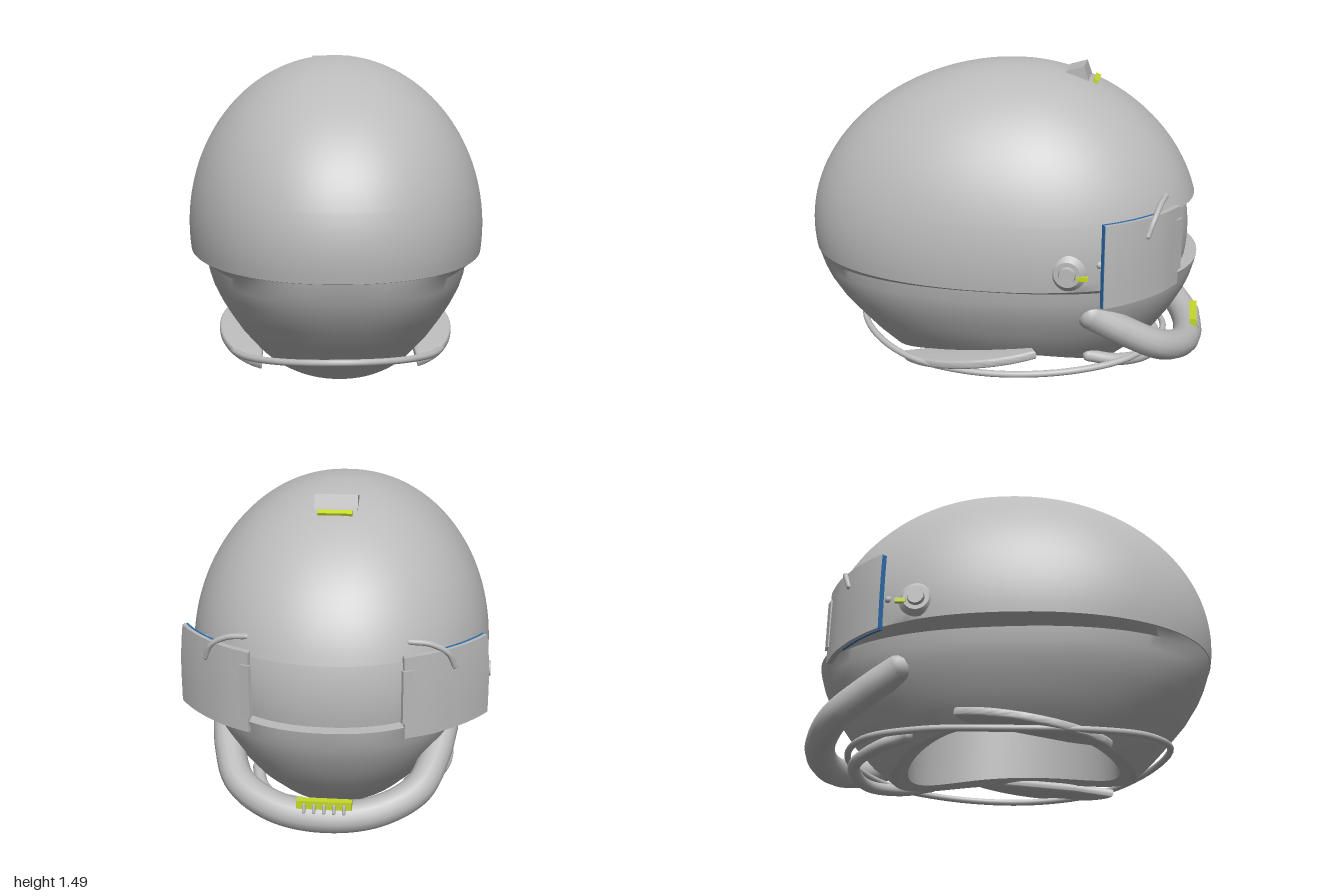
import * as THREE from 'three';
import { toCreasedNormals } from 'three/addons/utils/BufferGeometryUtils.js';

const mat = (name, color) => {
  const m = new THREE.MeshStandardMaterial({ color });
  m.name = name;
  return m;
};

export function createModel() {
  const grey = mat('grey', 0xbababa);
  const blue = mat('blue', 0x2f6fae);
  const lime = mat('lime', 0xc4d92a);
  const model = new THREE.Group();
  model.name = 'helmet';

  const add = (parent, name, geometry, material = grey, x = 0, y = 0, z = 0) => {
    const mesh = new THREE.Mesh(geometry, material);
    mesh.name = name;
    mesh.position.set(x, y, z);
    parent.add(mesh);
    return mesh;
  };

  // Skins superelliptic rings {y, w, zf, zb, p, lift, inset}, listed along the surface
  const CZ = -0.03, COLS = 120;
  const power = (v, p) => Math.sign(v) * Math.abs(v) ** (2 / p);
  const skin = (rings) => {
    const pos = [], idx = [];
    rings.forEach((r, i) => {
      for (let j = 0; j <= COLS; j++) {
        const a = (j / COLS) * Math.PI * 2, c = Math.cos(a), s = Math.sin(a);
        const k = r.inset && c < -0.6 ? 0.945 : 1;
        const depth = c > 0 ? r.zb - CZ : CZ - r.zf;
        pos.push(r.w * power(s, r.p) * k, r.y + 0.12 * (r.lift || 0) * s * s, CZ + depth * power(c, r.p) * k);
        if (i < rings.length - 1 && j < COLS) {
          const t = i * (COLS + 1) + j, b = t + COLS + 1;
          idx.push(t, b, t + 1, t + 1, b, b + 1);
        }
      }
    });
    const g = new THREE.BufferGeometry();
    g.setAttribute('position', new THREE.Float32BufferAttribute(pos, 3));
    g.setIndex(idx);
    return toCreasedNormals(g, 0.5);
  };

  // Dome, with the recessed visor band in its lower rows
  const domeRing = (y, inset) => {
    const q = Math.max(0, 1 - ((y - 0.67) / 0.825) ** 2);
    return { y, w: 0.735 * q ** 0.5, zf: CZ - 0.92 * q ** 0.53, zb: CZ + 1.03 * q ** 0.52, p: 2.16, inset };
  };
  const dome = [];
  const end = Math.acos(0.19 / 0.825);
  for (let i = 0; i <= 28; i++) dome.push(domeRing(0.67 + 0.825 * Math.cos((end * i) / 28)));
  for (let i = 0; i <= 8; i++) dome.push(domeRing(0.858 - (0.303 * i) / 8, true));
  dome.push({ y: 0.553, w: 0.725, zf: -0.95, zb: 0.985, p: 2.16 });
  add(model, 'upperShell', skin(dome));

  // Jaw with a saddle-shaped rim
  const jaw = [
    [0.553, 0.725, -0.95, 0.985, 2.16], [0.52, 0.65, -0.942, 0.976, 2.32], [0.46, 0.64, -0.925, 0.955, 2.32],
    [0.4, 0.622, -0.9, 0.927, 2.32], [0.3, 0.59, -0.845, 0.864, 2.3], [0.2, 0.553, -0.775, 0.78, 2.25],
    [0.1, 0.51, -0.685, 0.69, 2.2], [0.01, 0.46, -0.58, 0.6, 2.1],
  ].map(([y, w, zf, zb, p]) => ({ y, w, zf, zb, p, lift: Math.max(0, (0.4 - y) / 0.39) }));
  add(model, 'lowerShell', skin(jaw));

  // Neck opening: rim lip, inner wall and ceiling
  add(model, 'neckLining', skin([
    { y: 0.01, w: 0.46, zf: -0.58, zb: 0.6, p: 2.1, lift: 1 },
    { y: 0.005, w: 0.44, zf: -0.55, zb: 0.57, p: 2.1, lift: 1 },
    { y: 0.03, w: 0.4, zf: -0.5, zb: 0.52, p: 2.1, lift: 1 },
    { y: 0.45, w: 0.4, zf: -0.5, zb: 0.52, p: 2.1 },
    { y: 0.47, w: 0, zf: CZ, zb: CZ, p: 2.1 },
  ]));

  // Round hoses; ends are capped with spheres
  const hose = (parent, name, pts, r, closed = false) => {
    const v = pts.map((p) => new THREE.Vector3(...p));
    add(parent, name, new THREE.TubeGeometry(new THREE.CatmullRomCurve3(v, closed), 80, r, 14, closed));
    if (!closed) for (const p of [pts[0], pts[pts.length - 1]])
      add(parent, name + 'End', new THREE.SphereGeometry(r, 14, 10), grey, ...p);
  };
  const mirrored = (half) => [
    ...half.slice(1).reverse().map(([x, y, z]) => [-x, y, z]), ...half,
  ];
  const chinY = (z) => 0.39 + 0.57 * (z + 0.46);
  hose(model, 'chinBar', mirrored([[0, -0.925], [0.23, -0.89], [0.41, -0.78], [0.485, -0.62], [0.52, -0.47]]
    .map(([x, z]) => [x, chinY(z), z])), 0.072);
  hose(model, 'chinHose', mirrored([[0, 0.05, -0.76], [0.2, 0.055, -0.72], [0.34, 0.08, -0.58], [0.38, 0.11, -0.45]]), 0.03);
  const loop = mirrored([[0, 0.14, 0.77], [0.27, 0.115, 0.66], [0.47, 0.078, 0.42], [0.56, 0.065, 0.05],
    [0.53, 0.085, -0.35], [0.36, 0.11, -0.66]]);
  hose(model, 'neckCable', [...loop, [0, 0.125, -0.8]], 0.016, true);

  // Lime grip with studs on the chin bar
  add(model, 'chinGrip', new THREE.BoxGeometry(0.25, 0.04, 0.035), lime, 0, 0.205, -0.95);
  for (let i = -2; i <= 2; i++) {
    const stud = add(model, 'gripStud', new THREE.CapsuleGeometry(0.008, 0.03, 4, 8), grey, i * 0.045, 0.19, -0.972);
    stud.rotation.x = 0.3;
  }

  // Top vent wedge with its lime strip
  const wedge = new THREE.Shape([[0.27, 1.42], [0.41, 1.38], [0.395, 1.425], [0.375, 1.482], [0.29, 1.458]]
    .map((p) => new THREE.Vector2(...p)));
  const vent = new THREE.ExtrudeGeometry(wedge, { depth: 0.2, bevelEnabled: false });
  vent.rotateY(Math.PI / 2).translate(-0.1, 0, 0);
  add(model, 'topVent', vent);
  const strip = add(model, 'ventStrip', new THREE.BoxGeometry(0.16, 0.02, 0.025), lime, 0, 1.407, -0.43);
  strip.rotation.x = -0.45;

  // Upright plate along a plan-view path, offset t0 to t1 inwards, leaning in towards its top
  const path = new THREE.SplineCurve([[0.35, -0.86], [0.48, -0.79], [0.6, -0.69], [0.68, -0.6], [0.725, -0.535]]
    .map((p) => new THREE.Vector2(...p)));
  const plate = (t0, t1, from, to, y, h) => {
    const edge = (t) => Array.from({ length: 17 }, (_, i) => {
      const u = from + ((to - from) * i) / 16, p = path.getPoint(u), d = path.getTangent(u);
      return new THREE.Vector2(p.x - d.y * t, -(p.y + d.x * t));
    });
    const g = new THREE.ExtrudeGeometry(new THREE.Shape([...edge(t0), ...edge(t1).reverse()]),
      { depth: h, steps: 8, bevelEnabled: false });
    g.rotateX(-Math.PI / 2).translate(0, y, 0);
    const pos = g.attributes.position;
    for (let i = 0; i < pos.count; i++) {
      const lean = 1 - 0.025 * Math.max(0, (pos.getY(i) - 0.62) / 0.27) ** 2;
      pos.setX(i, pos.getX(i) * lean);
    }
    return toCreasedNormals(g, 0.5);
  };

  // Crescent pad outline in plan, tapering forward along the jaw
  const crescent = new THREE.Shape();
  crescent.moveTo(0.38, -0.48);
  crescent.bezierCurveTo(0.56, -0.36, 0.64, -0.02, 0.53, 0.2);
  crescent.lineTo(0.46, 0.17);
  crescent.lineTo(0.38, -0.3);

  for (const side of [1, -1]) {
    const g = new THREE.Group();
    g.name = side > 0 ? 'leftSide' : 'rightSide';
    g.scale.x = side;
    model.add(g);

    // Blinder with blue inner face and edge
    add(g, 'blinder', plate(0, 0.018, 0, 0.985, 0.5, 0.385));
    add(g, 'blinderLining', plate(0.018, 0.028, 0.33, 0.995, 0.497, 0.39), blue);
    add(g, 'blinderInnerPad', plate(0.018, 0.028, 0.02, 0.33, 0.5, 0.385));
    add(g, 'blinderEdge', plate(0.002, 0.018, 0.985, 1, 0.5, 0.385), blue);
    const bracket = add(g, 'blinderBracket', new THREE.BoxGeometry(0.05, 0.25, 0.02), grey, 0.358, 0.7, -0.852);
    bracket.rotation.y = -0.5;
    hose(g, 'blinderWire', [[0.56, 0.8, -0.72], [0.53, 0.87, -0.745], [0.45, 0.92, -0.77], [0.36, 0.935, -0.79]], 0.013);

    // Hinge stem, tapered disc, knob and lime tab
    const disc = (name, r0, r1, h, x) => {
      const d = add(g, name, new THREE.CylinderGeometry(r0, r1, h, 32), grey, x, 0.65, -0.37);
      d.rotation.z = -Math.PI / 2;
    };
    disc('hingeStem', 0.06, 0.06, 0.06, 0.67);
    disc('hingeDisc', 0.06, 0.085, 0.025, 0.705);
    disc('hingeKnob', 0.036, 0.042, 0.025, 0.723);
    add(g, 'hingeTab', new THREE.BoxGeometry(0.018, 0.02, 0.05), lime, 0.716, 0.637, -0.44);
    add(g, 'hingePin', new THREE.SphereGeometry(0.018, 12, 8), grey, 0.64, 0.68, -0.51);

    // Padded crescent hugging the jaw, rising towards the face
    const pad = new THREE.ExtrudeGeometry(crescent,
      { depth: 0.015, bevelThickness: 0.014, bevelSize: 0.012, bevelSegments: 4, curveSegments: 24 });
    pad.rotateX(-Math.PI / 2 + 0.17);
    add(g, 'jawPad', toCreasedNormals(pad, 0.7), grey, 0, 0.122, 0);
  }
  return model;
}
